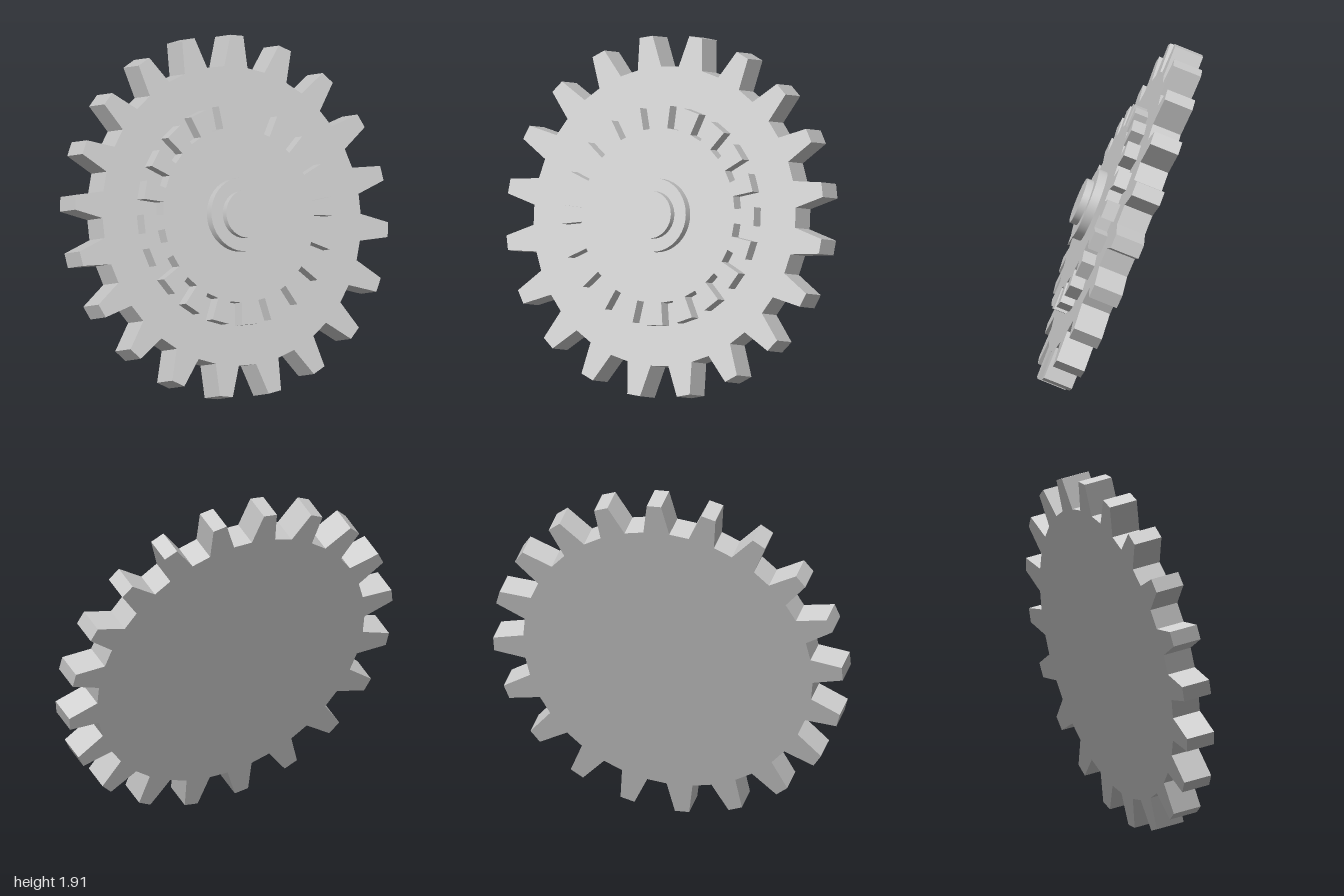
import * as THREE from 'three';

const material = new THREE.MeshStandardMaterial({ color: 0xcccccc });

// Toothed disc, one straight-sided tooth per step; z runs along the axle
function gearGeometry({ teeth, root, tip, baseWidth, tipWidth, depth, phase = 0 }) {
  const points = [];
  for (let i = 0; i < teeth; i++) {
    const a = Math.PI / 2 + ((i + phase) / teeth) * Math.PI * 2;
    const corners = [[root, -baseWidth], [tip, -tipWidth], [tip, tipWidth], [root, baseWidth]];
    for (const [r, w] of corners) {
      points.push(new THREE.Vector2(
        r * Math.cos(a) - (w / 2) * Math.sin(a),
        r * Math.sin(a) + (w / 2) * Math.cos(a)));
    }
  }
  return new THREE.ExtrudeGeometry(new THREE.Shape(points), { depth, bevelEnabled: false });
}

// Short round boss standing on the axle
function discGeometry(radius, depth) {
  return new THREE.CylinderGeometry(radius, radius, depth, 40)
    .rotateX(Math.PI / 2)
    .translate(0, 0, depth / 2);
}

export function createModel() {
  const model = new THREE.Group();
  model.name = 'gear';
  const tilted = new THREE.Group();
  tilted.name = 'tiltedGear';
  model.add(tilted);

  const add = (name, geometry, z) => {
    const mesh = new THREE.Mesh(geometry, material);
    mesh.name = name;
    mesh.position.z = z;
    tilted.add(mesh);
  };

  // Large wheel with tapering teeth
  add('mainGear', gearGeometry({
    teeth: 20, root: 0.822, tip: 0.998, baseWidth: 0.148, tipWidth: 0.082, depth: 0.165,
  }), -0.0825);

  // Raised small wheel, its teeth flaring outward and set half a step round
  add('smallGear', gearGeometry({
    teeth: 20, root: 0.48, tip: 0.604, baseWidth: 0.078, tipWidth: 0.104, depth: 0.075, phase: 0.5,
  }), 0.0825);

  // Stepped hub
  add('hubCollar', discGeometry(0.203, 0.05), 0.1575);
  add('hubCap', discGeometry(0.131, 0.04), 0.2075);

  // Lean the axle and turn the teeth slightly round it
  const axle = new THREE.Vector3(0.912, 0.38, 0.15).normalize();
  const side = new THREE.Vector3(0, 1, 0).cross(axle).normalize();
  const up = axle.clone().cross(side);
  tilted.quaternion.setFromRotationMatrix(new THREE.Matrix4().makeBasis(side, up, axle));
  tilted.rotateZ(THREE.MathUtils.degToRad(2));

  // Stand on the ground, centred
  model.updateMatrixWorld(true);
  const box = new THREE.Box3().setFromObject(model, true);
  const centre = box.getCenter(new THREE.Vector3());
  tilted.position.set(-centre.x, -box.min.y, -centre.z);
  return model;
}
